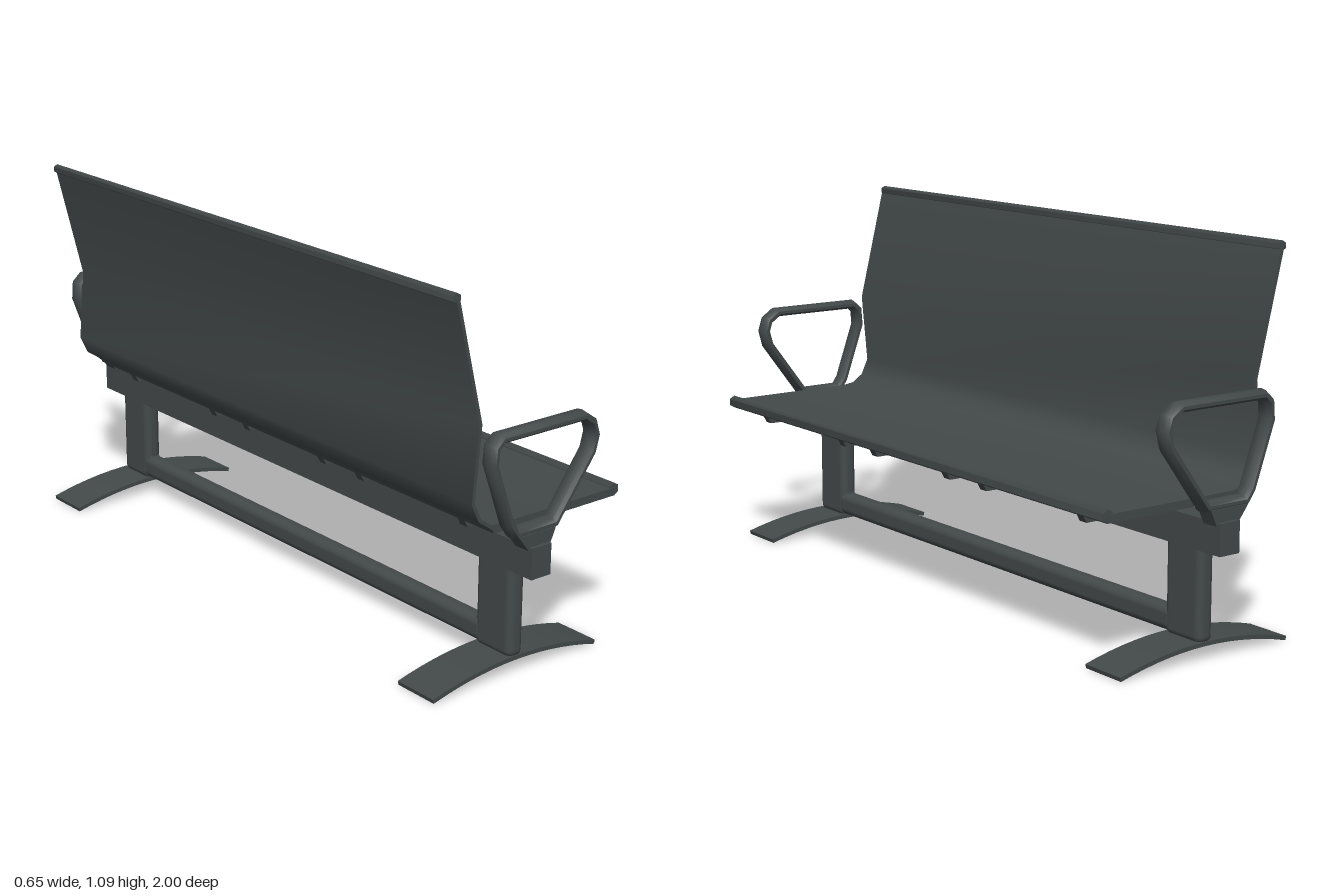
import * as THREE from 'three';
import { toCreasedNormals } from 'three/addons/utils/BufferGeometryUtils.js';
import { RoundedBoxGeometry } from 'three/addons/geometries/RoundedBoxGeometry.js';

const metal = new THREE.MeshStandardMaterial({ color: 0x434949 });
metal.name = 'dark grey metal';

function add(parent, name, geometry, x = 0, y = 0, z = 0) {
  const mesh = new THREE.Mesh(geometry, metal);
  mesh.name = name;
  mesh.position.set(x, y, z);
  parent.add(mesh);
}

// Mitred sideways offset at each point of a 2D path
function miters(points, closed) {
  const n = points.length;
  const side = (a, b) => {
    const d = b.clone().sub(a).normalize();
    return new THREE.Vector2(-d.y, d.x);
  };
  return points.map((p, i) => {
    const before = closed || i > 0 ? side(points[(i + n - 1) % n], p) : side(p, points[1]);
    const after = closed || i < n - 1 ? side(p, points[(i + 1) % n]) : before;
    const m = before.clone().add(after).normalize();
    return m.divideScalar(m.dot(after));
  });
}

const toPoints = (list) => list.map(([x, y]) => new THREE.Vector2(x, y));

// Outline extruded along z, centred on its own z
function extrude(outline, width) {
  const g = new THREE.ExtrudeGeometry(new THREE.Shape(outline), { depth: width, bevelEnabled: false });
  return toCreasedNormals(g.translate(0, 0, -width / 2), 0.6);
}

// Bent plate of even thickness following a path
function plate(points, thickness, width) {
  const m = miters(points, false);
  const edge = (s) => points.map((p, i) => p.clone().addScaledVector(m[i], s * thickness / 2));
  return extrude([...edge(1), ...edge(-1).reverse()], width);
}

// Closed tube with an oval section: r in the plane of the path, rz across it
function loopTube(points, r, rz, sides = 10) {
  const m = miters(points, true);
  const positions = [], index = [], n = points.length;
  points.forEach((p, i) => {
    for (let j = 0; j < sides; j++) {
      const a = (j / sides) * Math.PI * 2;
      const q = p.clone().addScaledVector(m[i], Math.cos(a) * r);
      positions.push(q.x, q.y, Math.sin(a) * rz);
      const k = (j + 1) % sides, next = (i + 1) % n;
      const A = i * sides + j, B = i * sides + k, C = next * sides + k, D = next * sides + j;
      index.push(A, B, D, B, C, D);
    }
  });
  const g = new THREE.BufferGeometry();
  g.setAttribute('position', new THREE.Float32BufferAttribute(positions, 3));
  g.setIndex(index);
  return toCreasedNormals(g, 0.9);
}

// Six-sided rolled edge along z
const roll = (r) => toCreasedNormals(new THREE.CylinderGeometry(r, r, 1.84, 6).rotateX(Math.PI / 2), 1.1);

export function createModel() {
  const bench = new THREE.Group();
  bench.name = 'bench';

  // Seat and backrest
  const seat = new THREE.Group();
  seat.name = 'seat';
  bench.add(seat);
  add(seat, 'backrest', plate(toPoints([
    [-0.272, 1.08], [-0.186, 0.735], [-0.205, 0.525], [-0.181, 0.475], [-0.125, 0.437],
  ]), 0.01, 1.845));
  add(seat, 'seatPan', extrude(toPoints([
    [-0.13, 0.427], [0.31, 0.427], [0.31, 0.45], [-0.11, 0.45], [-0.145, 0.455],
  ]), 1.845));
  add(seat, 'topRoll', roll(0.014), -0.273, 1.08);
  add(seat, 'frontRoll', roll(0.019), 0.309, 0.444);

  // Ribs under the seat
  for (const z of [-0.775, -0.348, -0.18, 0.18, 0.348, 0.775]) {
    add(seat, 'seatRib', extrude(toPoints([
      [-0.1, 0.395], [0.27, 0.395], [0.288, 0.428], [-0.118, 0.428],
    ]), 0.028), 0, 0, z);
  }

  // Main beam and lower stretcher
  add(bench, 'mainBeam', new THREE.BoxGeometry(0.068, 0.088, 2), -0.033, 0.35, 0);
  add(bench, 'stretcher', new RoundedBoxGeometry(0.054, 0.07, 1.62, 4, 0.022), -0.033, 0.088, 0);

  const arch = [];
  for (let i = 0; i <= 14; i++) {
    const t = i / 7 - 1;
    arch.push(new THREE.Vector2(-0.032 + t * 0.293, 0.048 - 0.04 * t * t));
  }
  const armPath = toPoints([
    [-0.105, 0.437], [0.03, 0.437], [0.156, 0.605], [0.168, 0.65], [0.157, 0.685], [0.123, 0.708],
    [-0.162, 0.708], [-0.184, 0.688], [-0.188, 0.64], [-0.125, 0.465],
  ]);

  // Leg, foot and armrest at each end
  for (const s of [-1, 1]) {
    const end = new THREE.Group();
    end.name = s > 0 ? 'frontEnd' : 'backEnd';
    bench.add(end);
    add(end, 'post', new RoundedBoxGeometry(0.054, 0.33, 0.14, 4, 0.022), -0.033, 0.21, s * 0.85);
    // Small corner fillet between post and stretcher
    const fillet = extrude(toPoints([[-0.02, -0.02], [0.024, -0.02], [-0.02, 0.024]]), 0.036);
    add(end, 'cornerFillet', fillet.rotateY(s * Math.PI / 2), -0.033, 0.118, s * 0.78);
    add(end, 'foot', plate(arch, 0.012, 0.14), 0, 0, s * 0.85);
    add(end, 'armMount', extrude(toPoints([
      [-0.07, 0.385], [0.005, 0.385], [0.025, 0.43], [-0.105, 0.43],
    ]), 0.05), 0, 0, s * 0.965);
    add(end, 'armrest', loopTube(armPath, 0.0145, 0.027), 0, 0, s * 0.964);
  }
  return bench;
}
